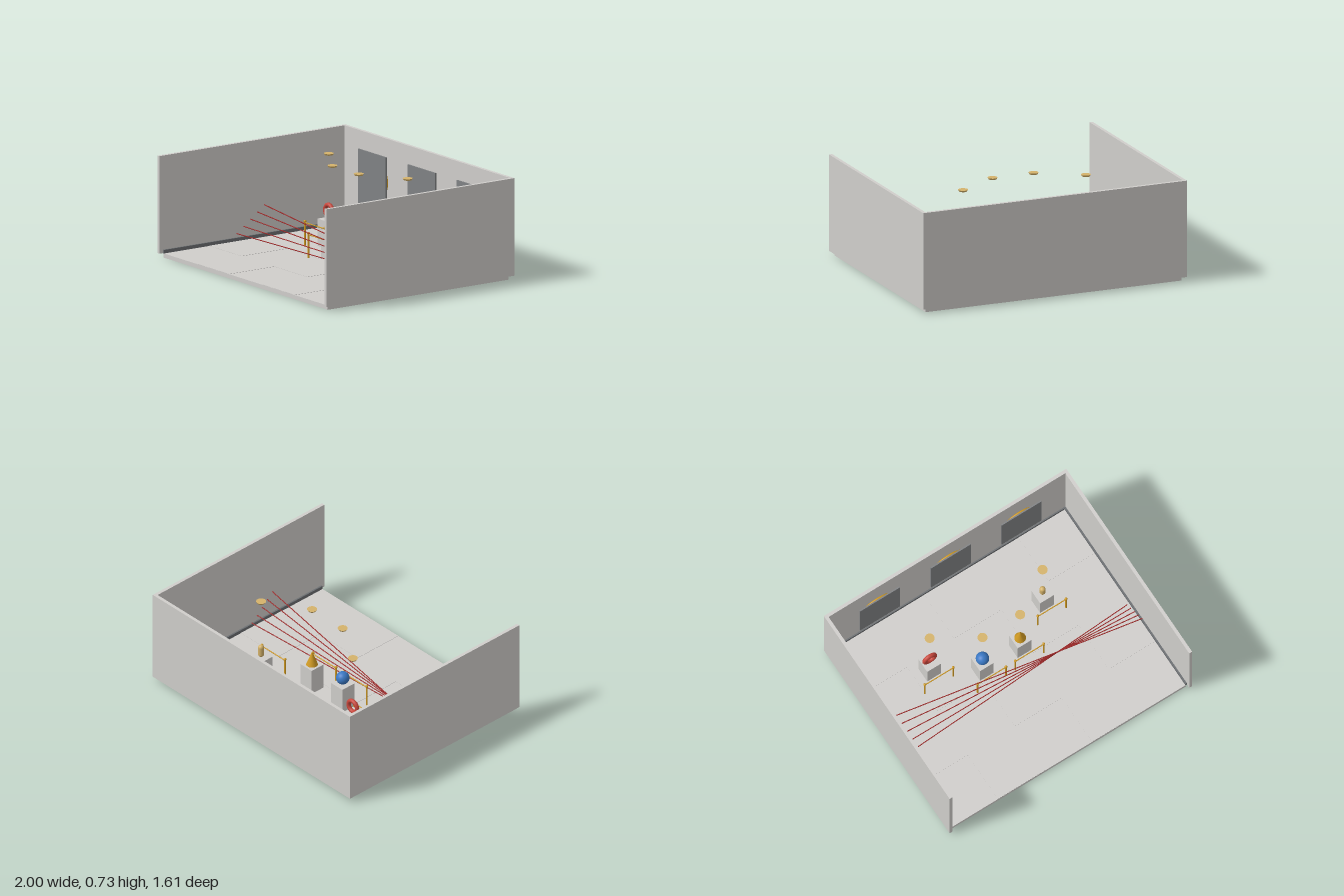
import * as THREE from 'three';

const mat = (name, color) => {
  const m = new THREE.MeshStandardMaterial({ color });
  m.name = name;
  return m;
};

export function createModel() {
  const root = new THREE.Group();
  root.name = 'galleryRoom';

  const stone = mat('paleStone', 0xd0cecb);
  const dark = mat('darkTrim', 0x6c6f72);
  const smoked = mat('smokedPanel', 0x808284);
  const gold = mat('gold', 0xd09a22);
  const brass = mat('lampBrass', 0xd4b26a);
  const red = mat('ringRed', 0xc8473c);
  const blue = mat('ballBlue', 0x3a78c4);
  const beamRed = mat('beamRed', 0xa02626);

  const add = (parent, name, geo, material, x = 0, y = 0, z = 0) => {
    const m = new THREE.Mesh(geo, material);
    m.name = name;
    m.position.set(x, y, z);
    parent.add(m);
    return m;
  };
  const box = (parent, name, w, h, d, material, x, y, z) =>
    add(parent, name, new THREE.BoxGeometry(w, h, d), material, x, y, z);
  // Thin round bar between two points
  const bar = (parent, name, a, b, r, material) => {
    const m = add(parent, name, new THREE.CylinderGeometry(r, r, a.distanceTo(b), 8), material);
    m.position.copy(a).add(b).multiplyScalar(0.5);
    m.quaternion.setFromUnitVectors(new THREE.Vector3(0, 1, 0), b.clone().sub(a).normalize());
    return m;
  };
  const V = (x, y, z) => new THREE.Vector3(x, y, z);

  // Floor slab with very slightly raised alternate tiles
  box(root, 'floor', 1.94, 0.03, 1.546, stone, 0, 0.015, 0);
  for (let c = 0; c < 5; c++)
    for (let r = 0; r < 4; r++)
      if ((c + r) % 2 === 0)
        box(root, 'floorTile', 0.388, 0.002, 0.386, stone, (c - 2) * 0.388, 0.031, (r - 1.5) * 0.386);

  // Walls and skirting
  box(root, 'backWall', 2, 0.695, 0.024, stone, 0, 0.3775, -0.791);
  box(root, 'backSkirting', 1.95, 0.025, 0.01, dark, 0, 0.0425, -0.774);
  for (const s of [-1, 1]) {
    box(root, 'sideWall', 0.024, 0.695, 1.582, stone, s * 0.988, 0.3775, 0.012);
    box(root, 'sideSkirting', 0.012, 0.025, 1.546, dark, s * 0.97, 0.0425, 0);
  }

  // Wall displays: gold ring and dark plate behind a smoked panel
  for (const x of [-0.585, 0, 0.583]) {
    const g = new THREE.Group();
    g.name = 'wallDisplay';
    g.position.set(x, 0.417, 0);
    root.add(g);
    add(g, 'displayRing', new THREE.TorusGeometry(0.138, 0.009, 10, 40), gold, 0, 0, -0.758);
    const disc = add(g, 'displayDisc', new THREE.CylinderGeometry(0.09, 0.09, 0.008, 32), dark, 0, 0, -0.75);
    disc.rotation.x = Math.PI / 2;
    box(g, 'displayPanel', 0.328, 0.385, 0.01, smoked, 0, 0, -0.734);
  }

  // Exhibits, each sitting on y = 0 of its pedestal top
  const exhibits = [
    g => add(g, 'ringExhibit', new THREE.TorusGeometry(0.043, 0.0155, 14, 36), red, 0, 0.0585, 0),
    g => add(g, 'ballExhibit', new THREE.SphereGeometry(0.047, 28, 20), blue, 0, 0.047, 0),
    g => add(g, 'coneExhibit', new THREE.ConeGeometry(0.041, 0.11, 28), gold, 0, 0.055, 0),
    g => add(g, 'capsuleExhibit', new THREE.CapsuleGeometry(0.021, 0.055, 8, 20), brass, 0, 0.0485, 0),
  ];
  const spots = [[-0.467, -0.277], [-0.157, -0.083], [0.154, -0.083], [0.464, -0.277]];
  spots.forEach(([x, z], i) => {
    const station = new THREE.Group();
    station.name = 'exhibitStation';
    station.position.set(x, 0, z);
    root.add(station);
    box(station, 'pedestal', 0.113, 0.195, 0.113, stone, 0, 0.1275, 0);

    const exhibit = new THREE.Group();
    exhibit.name = 'exhibit';
    exhibit.position.y = 0.225;
    station.add(exhibit);
    exhibits[i](exhibit);

    // Lamp above
    add(station, 'ceilingLamp', new THREE.CylinderGeometry(0.035, 0.028, 0.012, 28), brass, 0, 0.688, 0);

    // Barrier in front
    for (const s of [-1, 1]) {
      bar(station, 'barrierPost', V(s * 0.117, 0.03, 0.119), V(s * 0.117, 0.205, 0.119), 0.0065, gold);
      add(station, 'postKnob', new THREE.SphereGeometry(0.01, 12, 8), gold, s * 0.117, 0.203, 0.119);
    }
    bar(station, 'barrierRail', V(-0.117, 0.194, 0.119), V(0.117, 0.194, 0.119), 0.004, gold);
  });

  // Crossing light beams, fanned out at both ends
  for (let i = 0; i < 5; i++) {
    const y = 0.267 - i * 0.0432;
    bar(root, 'lightBeam', V(-0.935, y, -0.064 + i * 0.059), V(0.935, y, 0.27 - i * 0.0488), 0.0035, beamRed);
  }

  return root;
}
